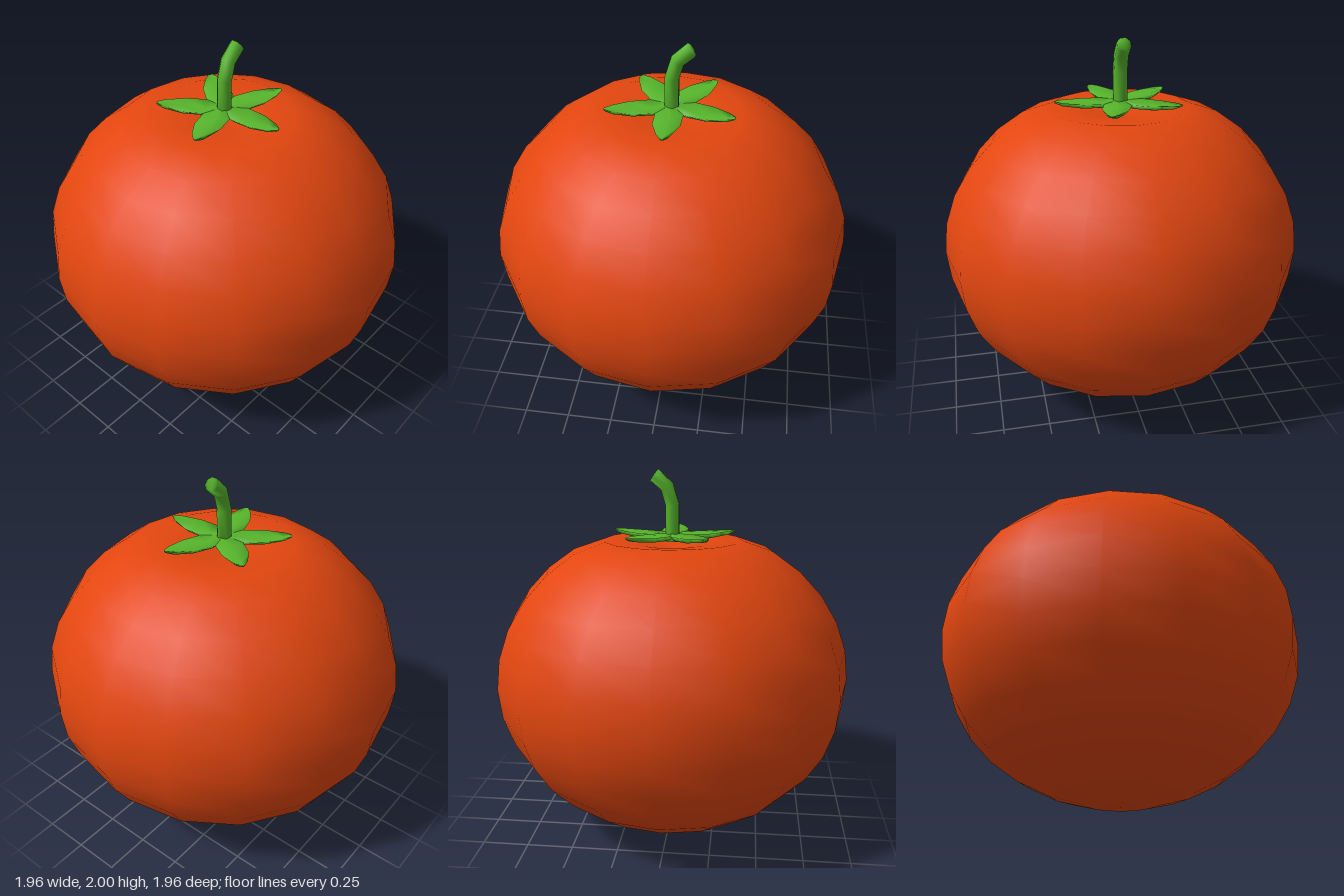
import * as THREE from 'three';

const red = new THREE.MeshStandardMaterial({ color: 0xe2460f });
const green = new THREE.MeshStandardMaterial({ color: 0x57b52c, side: THREE.DoubleSide });

function named(name, geometry, material) {
  const mesh = new THREE.Mesh(geometry, material);
  mesh.name = name;
  return mesh;
}

// Skins a list of equal closed rings and caps both ends
function loft(rings) {
  const n = rings[0].length, last = (rings.length - 1) * n, index = [];
  for (let r = 0; r < rings.length - 1; r++) {
    for (let i = 0; i < n; i++) {
      const a = r * n + i, b = r * n + (i + 1) % n;
      index.push(a, b, a + n, b, b + n, a + n);
    }
  }
  for (let i = 1; i < n - 1; i++) {
    index.push(0, i + 1, i, last, last + i, last + i + 1);
  }
  const geometry = new THREE.BufferGeometry();
  geometry.setAttribute('position', new THREE.Float32BufferAttribute(rings.flat(2), 3));
  geometry.setIndex(index);
  geometry.computeVertexNormals();
  return geometry;
}

// Squashed sphere with its top pressed into a shallow dimple
function bodyGeometry() {
  const profile = [];
  for (let k = 0; k <= 16; k++) {
    const a = k * Math.PI / 16;
    profile.push(new THREE.Vector2(0.98 * Math.sin(a), 0.86 - 0.855 * Math.cos(a)));
  }
  profile[0].x = profile[16].x = 0;
  profile[14].y = 1.63;
  profile[15].y = 1.61;
  profile[16].y = 1.58;
  return new THREE.LatheGeometry(profile, 16);
}

// Channelled leaf running along +z: [z, half width, edge y, centre y, underside y]
function sepalGeometry() {
  const sections = [
    [0, 0.001, 1.665, 1.665, 1.63],
    [0.101, 0.073, 1.662, 1.652, 1.635],
    [0.21, 0.07, 1.664, 1.654, 1.638],
    [0.31, 0.036, 1.67, 1.66, 1.65],
    [0.35, 0.01, 1.672, 1.67, 1.664],
  ];
  return loft(sections.map(([z, w, edge, centre, under]) => [
    [w, edge, z], [0, centre, z], [-w, edge, z], [-w * 0.6, under, z], [w * 0.6, under, z],
  ].reverse()));
}

// Eight-sided stalk bending towards +x: [x, y, lean]
function stemGeometry() {
  const path = [[0, 1.62, 0], [0, 1.815, 0.12], [0.028, 1.91, 0.5], [0.097, 1.972, 0.95]];
  return loft(path.map(([x, y, lean]) => {
    const ring = [];
    for (let i = 0; i < 8; i++) {
      const a = -(i + 0.5) * Math.PI / 4, r = 0.039;
      const across = r * Math.cos(a);
      ring.push([x + across * Math.cos(lean), y - across * Math.sin(lean), r * Math.sin(a)]);
    }
    return ring;
  }));
}

export function createModel() {
  const model = new THREE.Group();
  model.name = 'tomato';
  model.add(named('body', bodyGeometry(), red));

  // Five leaves meeting under the stem
  const calyx = new THREE.Group();
  calyx.name = 'calyx';
  const sepal = sepalGeometry();
  for (let i = 0; i < 5; i++) {
    const leaf = named('sepal', sepal, green);
    leaf.rotation.y = i * Math.PI * 2 / 5;
    calyx.add(leaf);
  }
  model.add(calyx, named('stem', stemGeometry(), green));
  return model;
}
